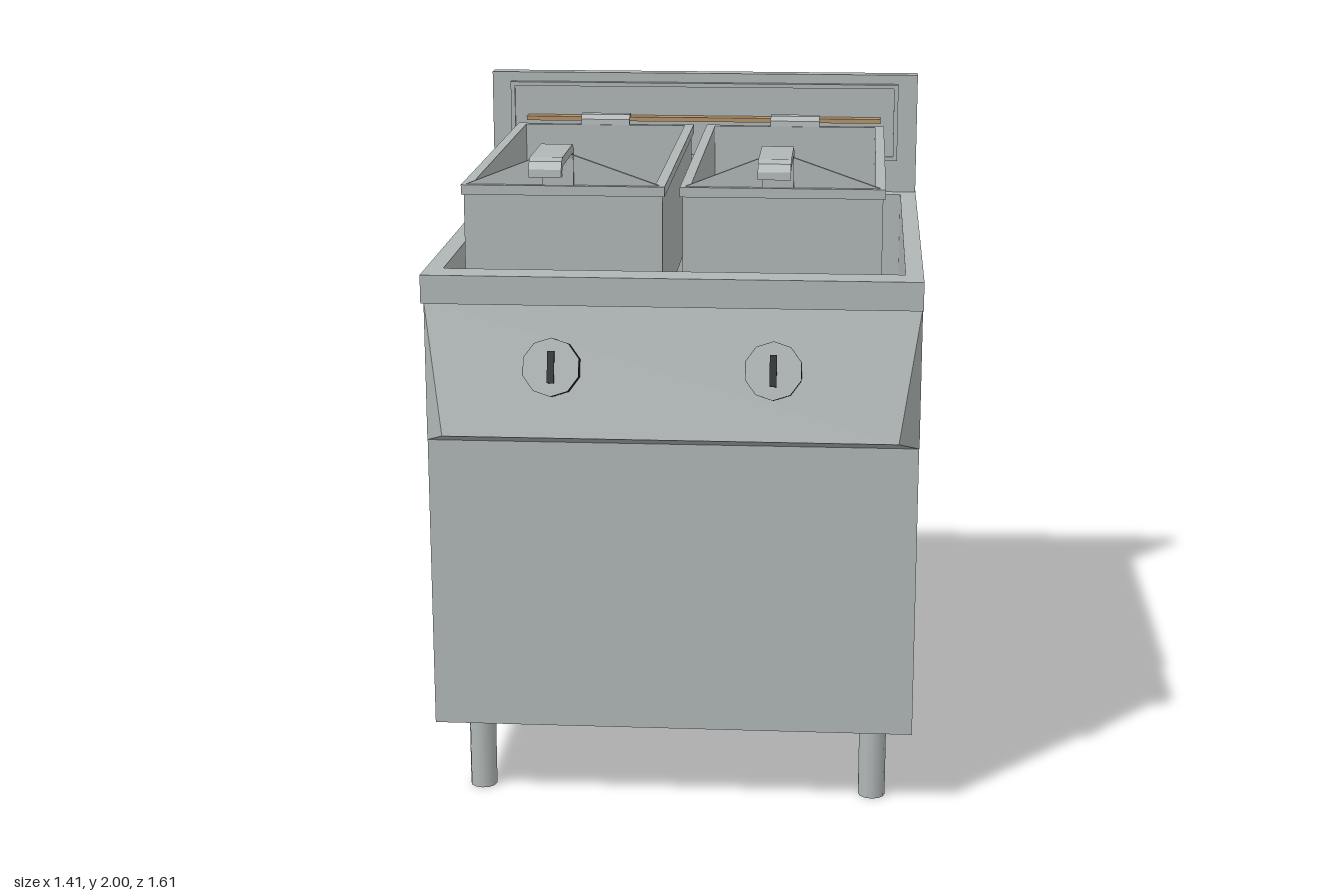
import * as THREE from 'three';

const steel = new THREE.MeshStandardMaterial({ color: 0xb0b7b6, side: THREE.DoubleSide });
steel.name = 'steel';
const black = new THREE.MeshStandardMaterial({ color: 0x222426 });
black.name = 'black plastic';
const copper = new THREE.MeshStandardMaterial({ color: 0xb5936a });
copper.name = 'copper';

function add(parent, name, geometry, material = steel) {
  const mesh = new THREE.Mesh(geometry, material);
  mesh.name = name;
  parent.add(mesh);
  return mesh;
}

// Box given by its two opposite corners
function box(parent, name, [x0, y0, z0], [x1, y1, z1], material) {
  const g = new THREE.BoxGeometry(x1 - x0, y1 - y0, z1 - z0);
  g.translate((x0 + x1) / 2, (y0 + y1) / 2, (z0 + z1) / 2);
  return add(parent, name, g, material);
}

// Rectangular frame as an extrusion along +z; rectangles are [u0, v0, u1, v1]
function frame(outer, inner, depth) {
  const trace = (p, [a, b, c, d]) => p.moveTo(a, b).lineTo(c, b).lineTo(c, d).lineTo(a, d).closePath();
  const shape = trace(new THREE.Shape(), outer);
  shape.holes.push(trace(new THREE.Path(), inner));
  return new THREE.ExtrudeGeometry(shape, { depth, bevelEnabled: false });
}

// Horizontal frame; rectangles are [x0, z0, x1, z1]
function flatFrame(outer, inner, y0, y1) {
  const flip = ([a, b, c, d]) => [a, -d, c, -b];
  return frame(flip(outer), flip(inner), y1 - y0).rotateX(-Math.PI / 2).translate(0, y0, 0);
}

// Bent sheet following [z, y] points, extruded across x around cx
function bentStrip(points, thickness, width, cx) {
  const pts = points.map(p => new THREE.Vector2(...p));
  const side = s => pts.map((p, i) => {
    const t = pts[Math.min(i + 1, pts.length - 1)].clone().sub(pts[Math.max(i - 1, 0)]).normalize();
    return new THREE.Vector2(p.x - t.y * s, p.y + t.x * s);
  });
  const shape = new THREE.Shape([...side(thickness / 2), ...side(-thickness / 2).reverse()]);
  return new THREE.ExtrudeGeometry(shape, { depth: width, bevelEnabled: false })
    .translate(0, 0, -width / 2).rotateY(-Math.PI / 2).translate(cx, 0, 0);
}

// Sloping control console tapering to a narrower lower edge
function consoleGeometry() {
  const a = [-0.705, 1.53, 0.655], b = [0.705, 1.53, 0.655];
  const c = [0.645, 1.16, 0.757], d = [-0.645, 1.16, 0.757];
  const e = [-0.705, 1.12, 0.655], f = [0.705, 1.12, 0.655];
  const tris = [a, d, c, a, c, b, d, e, f, d, f, c, a, e, d, b, c, f];
  const g = new THREE.BufferGeometry();
  g.setAttribute('position', new THREE.Float32BufferAttribute(tris.flat(), 3));
  g.computeVertexNormals();
  return g;
}

function makeBasket(cx) {
  const basket = new THREE.Group();
  basket.name = 'fryBasket';
  const w = 0.284, z0 = -0.676, z1 = 0.523;
  const inner = [cx - 0.262, -0.655, cx + 0.262, 0.497];
  add(basket, 'basketWalls', flatFrame([cx - w, z0, cx + w, z1], inner, 1.48, 1.812));
  add(basket, 'basketLip', flatFrame([cx - 0.291, -0.683, cx + 0.291, 0.529], inner, 1.812, 1.84));
  box(basket, 'basketFloor', [cx - 0.265, 1.48, -0.66], [cx + 0.265, 1.49, 0.5]);

  // Gabled plate carrying the handle
  const hx = cx - 0.014;
  const gable = new THREE.Shape([[cx - 0.29, 1.835], [cx + 0.29, 1.835], [hx + 0.045, 1.925], [hx - 0.045, 1.925]]
    .map(p => new THREE.Vector2(...p)));
  add(basket, 'handlePlate', new THREE.ExtrudeGeometry(gable, { depth: 0.014, bevelEnabled: false }).translate(0, 0, 0.498));
  add(basket, 'handle', bentStrip([[0.508, 1.84], [0.508, 1.918], [0.514, 1.937], [0.533, 1.948],
    [0.765, 1.948], [0.783, 1.942], [0.792, 1.928], [0.793, 1.91]], 0.025, 0.09, hx));

  // Rear hook resting on the rail
  add(basket, 'rearHook', bentStrip([[-0.663, 1.835], [-0.665, 1.855], [-0.676, 1.866], [-0.703, 1.867], [-0.711, 1.85]],
    0.012, 0.16, cx));
  return basket;
}

function makeKnob(x) {
  const knob = new THREE.Group();
  knob.name = 'controlKnob';
  const dial = new THREE.CylinderGeometry(0.083, 0.083, 0.038, 10).rotateX(Math.PI / 2).translate(0, 0, 0.019);
  add(knob, 'knobBody', dial, black);
  add(knob, 'knobFace', new THREE.CircleGeometry(0.082, 10).rotateZ(Math.PI / 2).translate(0, 0, 0.039));
  box(knob, 'knobPointer', [-0.01, -0.045, 0.039], [0.01, 0.045, 0.045], black);
  knob.position.set(x, 1.352, 0.704);
  knob.rotation.x = -0.27;
  return knob;
}

export function createModel() {
  const model = new THREE.Group();
  model.name = 'twinFryer';

  // Cabinet, open at the back and underneath
  for (const s of [-1, 1]) {
    const x = s * 0.7;
    box(model, 'sidePanel', [x - 0.004, 0.25, -0.805], [x + 0.004, 1.6, 0.655]);
  }
  box(model, 'frontPanel', [-0.704, 0.25, 0.647], [0.704, 1.595, 0.656]);

  // Deep oil tank hanging from the worktop opening
  const opening = [-0.655, -0.7, 0.655, 0.6];
  add(model, 'tankWalls', flatFrame([-0.66, -0.705, 0.66, 0.605], opening, 1.21, 1.595));
  box(model, 'tankFloor', [-0.658, 1.21, -0.703], [0.658, 1.218, 0.603]);

  // Worktop and front lip
  add(model, 'worktop', flatFrame([-0.706, -0.805, 0.706, 0.7], opening, 1.592, 1.612));
  box(model, 'frontLip', [-0.706, 1.53, 0.65], [0.706, 1.595, 0.7]);

  // Splashback with a pressed panel that is hollow from behind
  add(model, 'splashback', frame([-0.705, 1.61, 0.705, 2], [-0.642, 1.72, 0.642, 1.97], 0.055).translate(0, 0, -0.805));
  add(model, 'ventRim', frame([-0.642, 1.72, 0.642, 1.97], [-0.628, 1.733, 0.628, 1.957], 0.03).translate(0, 0, -0.755));
  box(model, 'ventPanel', [-0.635, 1.725, -0.755], [0.635, 1.965, -0.733]);
  for (let i = 0; i < 24; i++) {
    const x = -0.54 + i * 0.047;
    box(model, 'ventSlot', [x - 0.009, 1.853, -0.757], [x + 0.009, 1.858, -0.754]);
  }
  box(model, 'basketRail', [-0.585, 1.848, -0.735], [0.585, 1.862, -0.688], copper);

  // Controls
  add(model, 'controlConsole', consoleGeometry());
  for (const x of [-0.334, 0.291]) model.add(makeKnob(x));

  // Baskets
  for (const x of [-0.32, 0.305]) model.add(makeBasket(x));

  // Hollow tubular legs
  for (const x of [-0.585, 0.59]) {
    for (const z of [-0.665, 0.515]) {
      const leg = new THREE.CylinderGeometry(0.04, 0.04, 0.25, 12, 1, true).translate(x, 0.125, z);
      add(model, 'leg', leg);
    }
  }
  return model;
}
